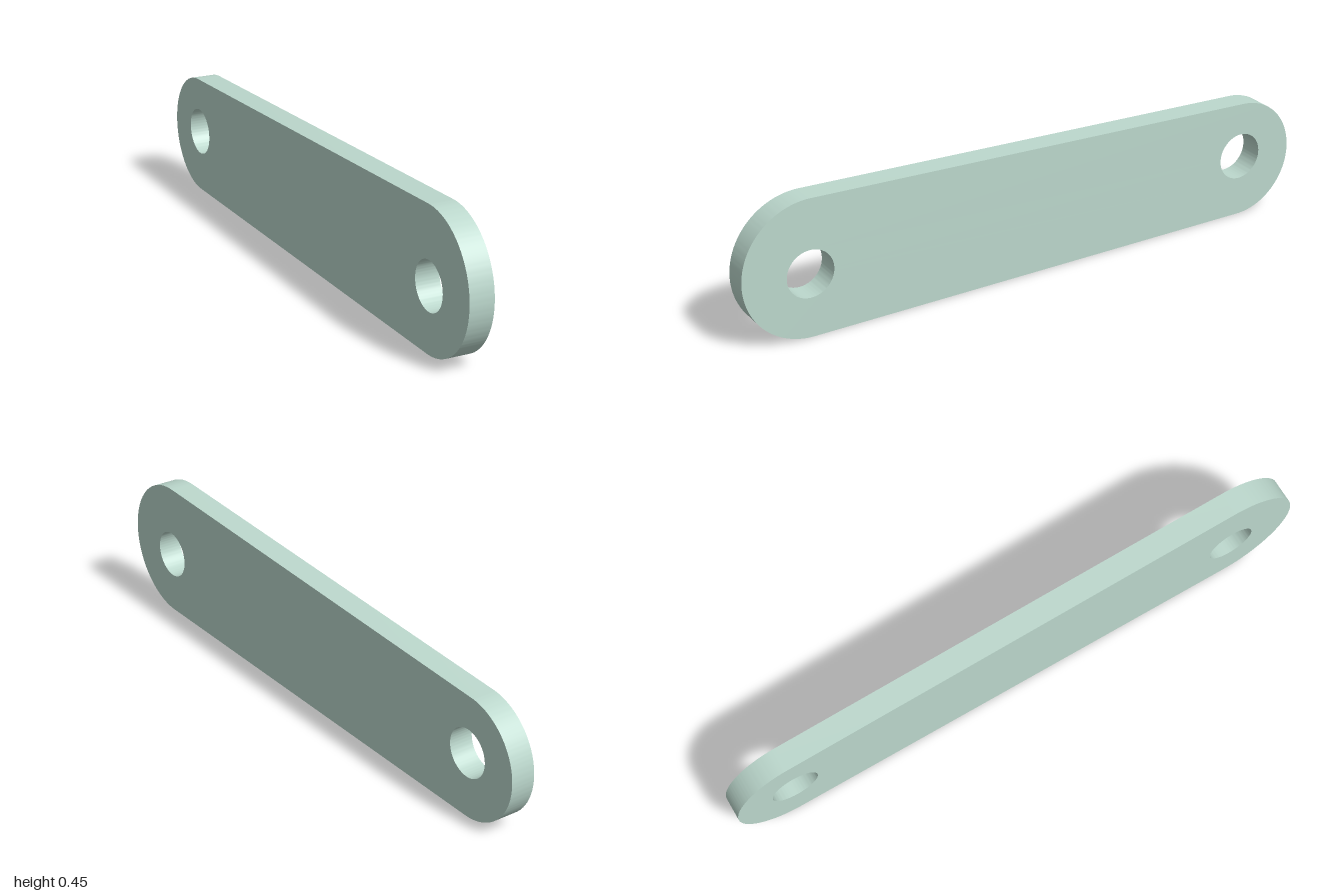
import * as THREE from 'three';
import { toCreasedNormals } from 'three/addons/utils/BufferGeometryUtils.js';

// Link outline is drawn in a plane where u = -z and v = y.
const THICKNESS = 0.08;
const FRONT = { u: -0.774, r: 0.226 };
const BACK = { u: 0.803, r: 0.197 };
const HOLE_RADIUS = 0.078;
const HOLE_HEIGHT = 0.209;

export function createModel() {
  const group = new THREE.Group();
  group.name = 'linkPlate';

  // Two rounded ends resting on the ground, joined by their common tangents
  const slope = 2 * Math.atan((FRONT.r - BACK.r) / (BACK.u - FRONT.u));
  const topAngle = Math.PI / 2 - slope;
  const outline = new THREE.Shape();
  outline.absarc(FRONT.u, FRONT.r, FRONT.r, topAngle, 1.5 * Math.PI, false);
  outline.absarc(BACK.u, BACK.r, BACK.r, -Math.PI / 2, topAngle, false);
  outline.closePath();

  // Pin holes, one at each end
  for (const u of [-0.778, 0.802]) {
    const hole = new THREE.Path();
    hole.absarc(u, HOLE_HEIGHT, HOLE_RADIUS, 0, Math.PI * 2, true);
    outline.holes.push(hole);
  }

  const extruded = new THREE.ExtrudeGeometry(outline, {
    depth: THICKNESS,
    bevelEnabled: false,
    curveSegments: 48,
  });
  extruded.translate(0, 0, -THICKNESS / 2);
  extruded.rotateY(Math.PI / 2);

  // Smooth rims with sharp edges against the flat faces
  const geometry = toCreasedNormals(extruded, Math.PI / 6);
  const material = new THREE.MeshStandardMaterial({ color: 0xbcd8cd });
  const plate = new THREE.Mesh(geometry, material);
  plate.name = 'plate';
  group.add(plate);

  return group;
}
